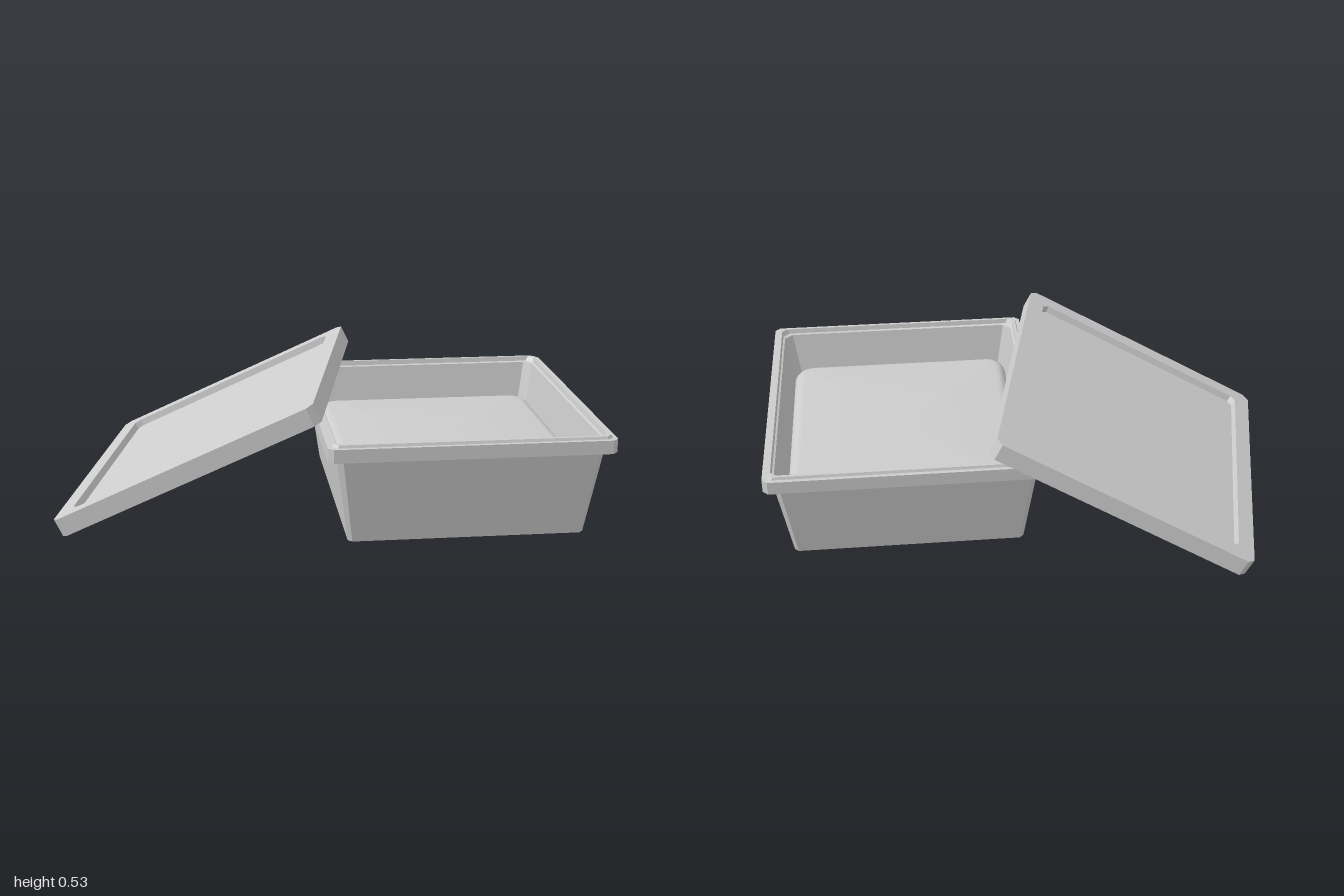
import * as THREE from 'three';
import { toCreasedNormals } from 'three/addons/utils/BufferGeometryUtils.js';

const material = new THREE.MeshStandardMaterial({ color: 0xcccccc, side: THREE.DoubleSide });

// Outline of a rectangle with rounded (or, with seg = 1, chamfered) corners
function ringPoints([hx, hz, y, r], seg) {
  const pts = [];
  [[1, 1], [-1, 1], [-1, -1], [1, -1]].forEach(([sx, sz], q) => {
    for (let i = 0; i <= seg; i++) {
      const a = (q + i / seg) * Math.PI / 2;
      pts.push([sx * (hx - r) + r * Math.cos(a), y, sz * (hz - r) + r * Math.sin(a)]);
    }
  });
  return pts;
}

// Skin over rings [halfX, halfZ, y, cornerRadius]; both ends are closed
function loft(name, rings, seg, crease) {
  const loops = rings.map(r => ringPoints(r, seg));
  const n = loops[0].length;
  const pos = [];
  const tri = (a, b, c) => pos.push(...a, ...b, ...c);
  for (let k = 0; k < loops.length - 1; k++) {
    const lo = loops[k], hi = loops[k + 1];
    for (let i = 0; i < n; i++) {
      const j = (i + 1) % n;
      tri(lo[i], hi[i], hi[j]);
      tri(lo[i], hi[j], lo[j]);
    }
  }
  const first = loops[0], last = loops[loops.length - 1];
  const c0 = [0, rings[0][2], 0], c1 = [0, rings[rings.length - 1][2], 0];
  for (let i = 0; i < n; i++) {
    const j = (i + 1) % n;
    tri(c0, first[i], first[j]);
    tri(c1, last[j], last[i]);
  }
  const g = new THREE.BufferGeometry();
  g.setAttribute('position', new THREE.Float32BufferAttribute(pos, 3));
  const mesh = new THREE.Mesh(toCreasedNormals(g, crease), material);
  mesh.name = name;
  return mesh;
}

export function createModel() {
  const model = new THREE.Group();
  model.name = 'foodContainer';

  // Tapered tub: outer wall, hanging rim skirt, raised lip, inner wall, floor
  const tub = new THREE.Group();
  tub.name = 'tub';
  tub.position.set(0.485, 0, 0.115);
  tub.add(loft('tubShell', [
    [0.432, 0.482, 0, 0.015],
    [0.485, 0.545, 0.365, 0.022],
    [0.5, 0.56, 0.365, 0.016],
    [0.5, 0.56, 0.33, 0.016],
    [0.515, 0.575, 0.33, 0.02],
    [0.515, 0.575, 0.38, 0.02],
    [0.5, 0.56, 0.38, 0.02],
    [0.496, 0.556, 0.39, 0.02],
    [0.485, 0.545, 0.39, 0.02],
    [0.481, 0.541, 0.372, 0.025],
    [0.474, 0.534, 0.368, 0.03],
    [0.418, 0.468, 0.015, 0.03],
  ], 1, 0.4));

  // Filling with a softly rounded top edge
  const top = 0.245, fillet = 0.045, fill = [[0.414, 0.466, 0.02, 0.08]];
  for (let i = 0; i <= 6; i++) {
    const a = i / 6 * Math.PI / 2;
    const inset = fillet * (1 - Math.cos(a));
    fill.push([0.442 - inset, 0.495 - inset, top - fillet * (1 - Math.sin(a)), 0.08 - inset]);
  }
  tub.add(loft('filling', fill, 8, 0.7));
  model.add(tub);

  // Lid leaning on the tub: recessed panel, border and skirt, hollow below
  const lid = new THREE.Group();
  lid.name = 'lid';
  lid.position.set(-0.42, 0.295, -0.028);
  lid.rotation.set(0, -12 * Math.PI / 180, 26.3 * Math.PI / 180);
  lid.add(loft('lidShell', [
    [0.452, 0.515, -0.038, 0.02],
    [0.468, 0.531, -0.015, 0.022],
    [0.508, 0.571, -0.015, 0.02],
    [0.511, 0.574, -0.07, 0.02],
    [0.525, 0.588, -0.07, 0.025],
    [0.525, 0.588, 0, 0.025],
    [0.46, 0.525, 0, 0.022],
    [0.456, 0.52, -0.026, 0.02],
  ], 1, 0.4));
  model.add(lid);

  return model;
}
